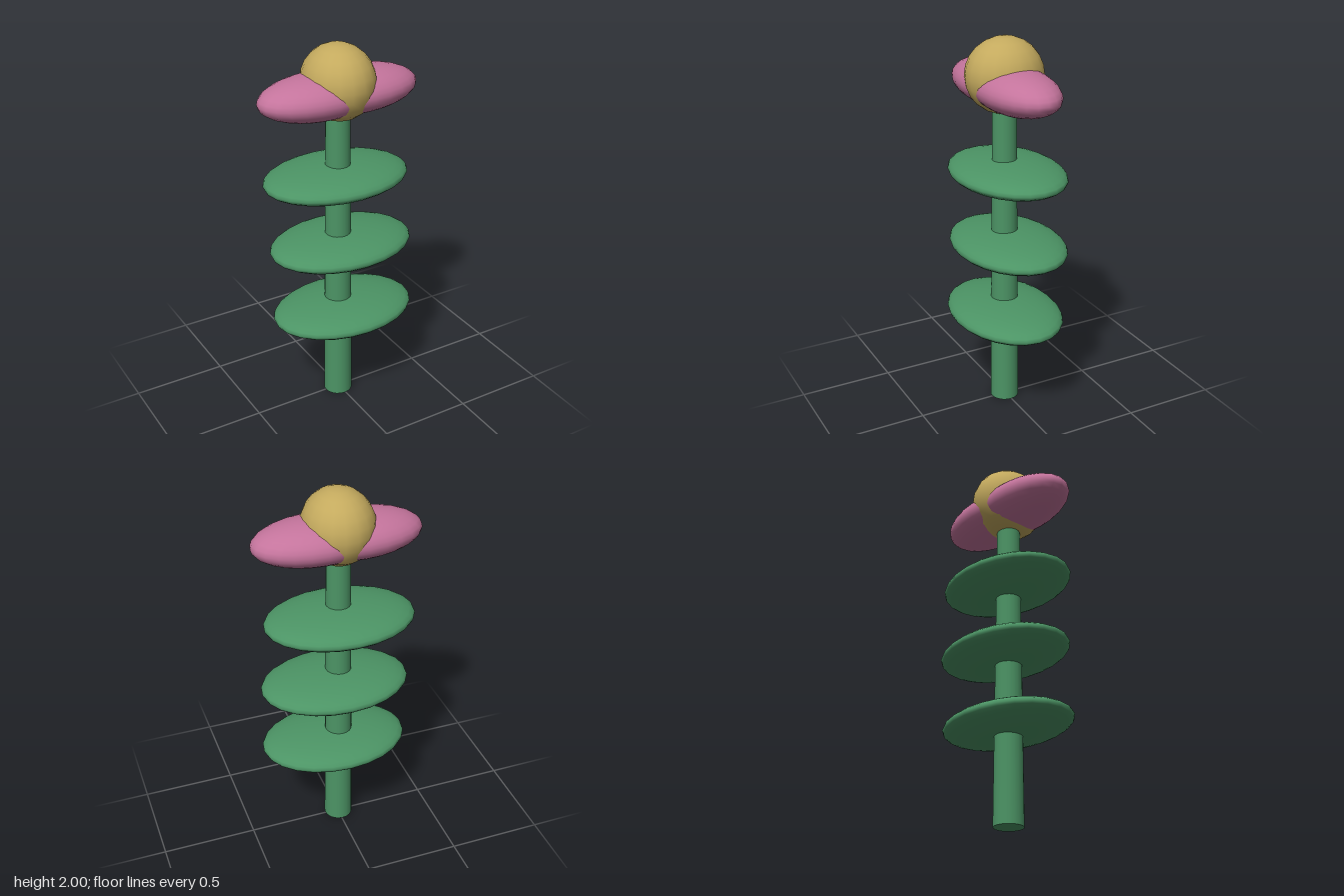
import * as THREE from 'three';

const material = (color) => new THREE.MeshStandardMaterial({ color });

export function createModel() {
  const model = new THREE.Group();
  const green = material(0x4c9465);
  const pink = material(0xc4749c);
  const gold = material(0xc4aa5e);

  const add = (name, geometry, mat, x, y, z) => {
    const mesh = new THREE.Mesh(geometry, mat);
    mesh.name = name;
    mesh.position.set(x, y, z);
    model.add(mesh);
    return mesh;
  };
  const ellipsoid = (rx, ry, rz, around, rings) =>
    new THREE.SphereGeometry(1, around, rings).scale(rx, ry, rz);

  // Tapered stem, ending inside the flower centre
  add('stem', new THREE.CylinderGeometry(0.061, 0.077, 1.75, 20), green, -0.005, 0.875, 0.003);

  // Flat oval leaves threaded on the stem, each slightly off centre
  const leaves = [[0.018, 0.53, 0.015], [0.018, 0.915, -0.005], [-0.007, 1.3, -0.013]];
  leaves.forEach(([x, y, z], i) =>
    add(`leaf${i + 1}`, ellipsoid(0.393, 0.076, 0.28, 24, 16), green, x, y, z));

  // Pair of wide petals meeting inside the flower centre
  for (const side of [-1, 1]) {
    add(side > 0 ? 'leftPetal' : 'rightPetal',
      ellipsoid(0.334, 0.112, 0.187, 24, 16), pink, side * 0.1, 1.754, 0.001);
  }

  // Round flower centre
  add('flowerCentre', ellipsoid(0.184, 0.193, 0.203, 18, 12), gold, -0.004, 1.807, 0.003);

  return model;
}
